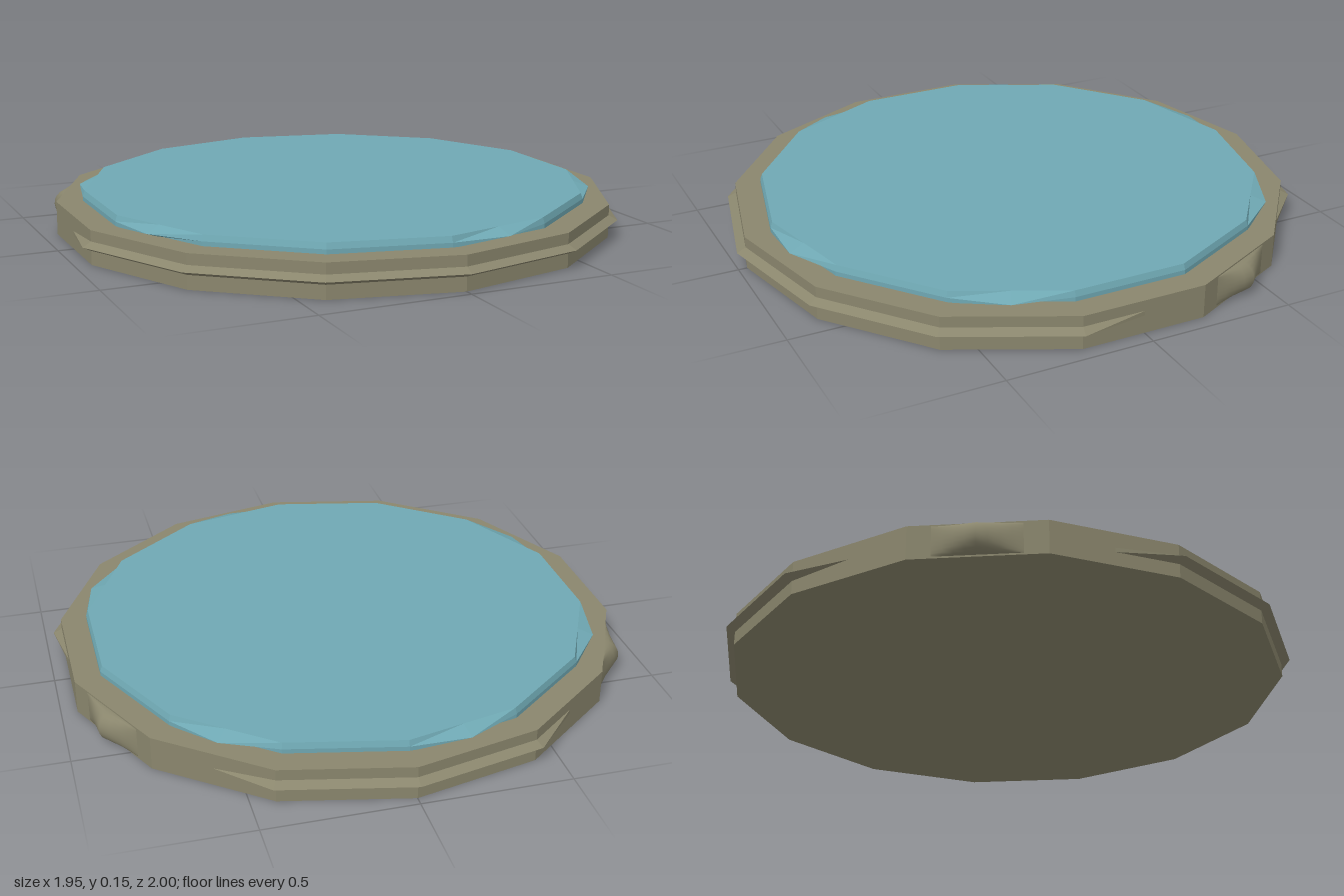
import * as THREE from 'three';

const SIDES = 14;
const STEP = Math.PI / SIDES; // corners on even steps, edge middles on odd steps
const FLAT = Math.cos(STEP);

// Ring of 28 points on a 14-sided outline; radiusAt(i) may push single points outward
function ring(y, radius, radiusAt = () => 0) {
  return Array.from({ length: SIDES * 2 }, (_, i) => {
    const r = radiusAt(i) || radius * (i % 2 ? FLAT : 1);
    return [r * Math.sin(i * STEP), y, r * Math.cos(i * STEP)];
  });
}

// Skin the rings from bottom to top and close both ends
function loft(rings) {
  const pos = [];
  const n = SIDES * 2;
  for (let i = 0; i < n; i++) {
    const j = (i + 1) % n;
    for (let k = 0; k < rings.length - 1; k++) {
      const a = rings[k], b = rings[k + 1];
      pos.push(...a[i], ...a[j], ...b[j], ...a[i], ...b[j], ...b[i]);
    }
    const low = rings[0], top = rings[rings.length - 1];
    pos.push(0, low[0][1], 0, ...low[j], ...low[i]);
    pos.push(0, top[0][1], 0, ...top[i], ...top[j]);
  }
  const g = new THREE.BufferGeometry();
  g.setAttribute('position', new THREE.Float32BufferAttribute(pos, 3));
  g.computeVertexNormals();
  return g;
}

export function createModel() {
  const group = new THREE.Group();
  const stone = new THREE.MeshStandardMaterial({ color: 0x8a866d });
  stone.name = 'stone';
  const water = new THREE.MeshStandardMaterial({ color: 0x6fa8b3 });
  water.name = 'water';

  const add = (name, geometry, material) => {
    const mesh = new THREE.Mesh(geometry, material);
    mesh.name = name;
    group.add(mesh);
    return mesh;
  };

  // Rim disc with a thin ridge around the wall, missing at the side lugs
  const plain = [4, 5, 9, 10];
  const ridged = (k) => !plain.includes(k % SIDES);
  const ridge = (i) => {
    const k = Math.floor(i / 2);
    if (i % 2) return ridged(k) && ridged(k + 1) ? FLAT : 0;
    return ridged(k) ? 1 : 0;
  };
  add('rim', loft([
    ring(0, 0.97), ring(0.047, 0.97), ring(0.062, 0.97, ridge), ring(0.078, 0.97), ring(0.115, 0.97),
  ]), stone);

  // Raised inner disc with small points sticking out of some edges
  const pointed = [0, 2, 5, 7, 9, 11];
  const points = (i) => (i % 2 && pointed.includes((i - 1) / 2) ? 0.905 : 0);
  add('innerDisc', loft([
    ring(0.113, 0.88), ring(0.13, 0.88, points), ring(0.15, 0.873),
  ]), water);

  // Rounded lugs on both sides, widest in the middle and fading into the wall
  for (const side of [-1, 1]) {
    const g = new THREE.CylinderGeometry(0.052, 0.052, 0.28, 20, 8);
    g.rotateX(Math.PI / 2);
    const p = g.attributes.position;
    for (let i = 0; i < p.count; i++) {
      const fade = 1 - Math.abs(p.getZ(i)) / 0.14;
      p.setX(i, p.getX(i) * fade);
    }
    g.computeVertexNormals();
    const lug = add(side > 0 ? 'leftLug' : 'rightLug', g, stone);
    lug.position.set(side * 0.852, 0.058, -0.411);
    lug.rotation.y = side * 9 * STEP - side * Math.PI / 2;
  }
  return group;
}
